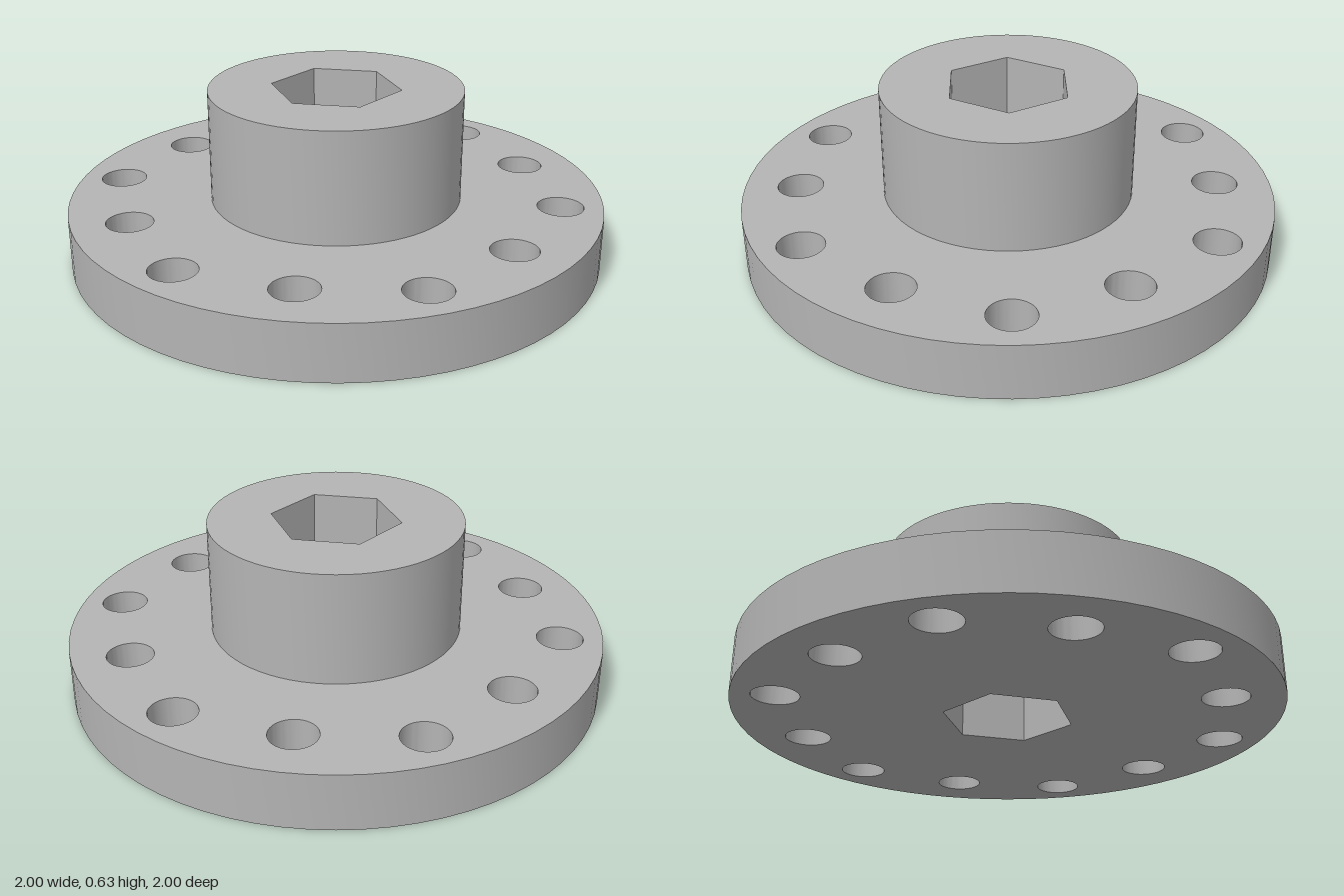
import * as THREE from 'three';
import { toCreasedNormals } from 'three/addons/utils/BufferGeometryUtils.js';

const FLANGE_RADIUS = 1, FLANGE_TOP = 0.21;
const HUB_RADIUS = 0.472, HUB_TOP = 0.63;
const HEX_RADIUS = 0.243;
const BOLT_RADIUS = 0.086, BOLT_COUNT = 12;
const BOLT_CIRCLES = [0.79, 0.842]; // bolt holes alternate between two circles

// Round disc outline with the hexagonal bore through its centre
function boredDisc(radius) {
  const shape = new THREE.Shape().absarc(0, 0, radius, 0, Math.PI * 2);
  const corners = [];
  for (let i = 0; i < 6; i++) {
    const a = Math.PI / 2 - i * Math.PI / 3;
    corners.push(new THREE.Vector2(Math.cos(a) * HEX_RADIUS, Math.sin(a) * HEX_RADIUS));
  }
  const bore = new THREE.Path().setFromPoints(corners);
  bore.closePath();
  shape.holes.push(bore);
  return shape;
}

// Extrude upwards from y = bottom, smooth round walls and sharp edges
function extrudeUp(shape, bottom, top) {
  const geometry = new THREE.ExtrudeGeometry(shape, {
    depth: top - bottom, bevelEnabled: false, curveSegments: 36,
  });
  geometry.rotateX(-Math.PI / 2).translate(0, bottom, 0);
  return toCreasedNormals(geometry, Math.PI / 6);
}

export function createModel() {
  const group = new THREE.Group();
  group.name = 'hexBoreFlangeHub';
  const metal = new THREE.MeshStandardMaterial({ color: 0xb4b4b4 });
  metal.name = 'grey metal';

  // Flange with its ring of bolt holes
  const flangeShape = boredDisc(FLANGE_RADIUS);
  for (let i = 0; i < BOLT_COUNT; i++) {
    const a = i * Math.PI * 2 / BOLT_COUNT, r = BOLT_CIRCLES[i % 2];
    flangeShape.holes.push(new THREE.Path().absarc(
      Math.cos(a) * r, Math.sin(a) * r, BOLT_RADIUS, 0, Math.PI * 2, true));
  }
  const flange = new THREE.Mesh(extrudeUp(flangeShape, 0, FLANGE_TOP), metal);
  flange.name = 'flange';

  // Raised hub
  const hub = new THREE.Mesh(extrudeUp(boredDisc(HUB_RADIUS), FLANGE_TOP, HUB_TOP), metal);
  hub.name = 'hub';

  group.add(flange, hub);
  return group;
}
